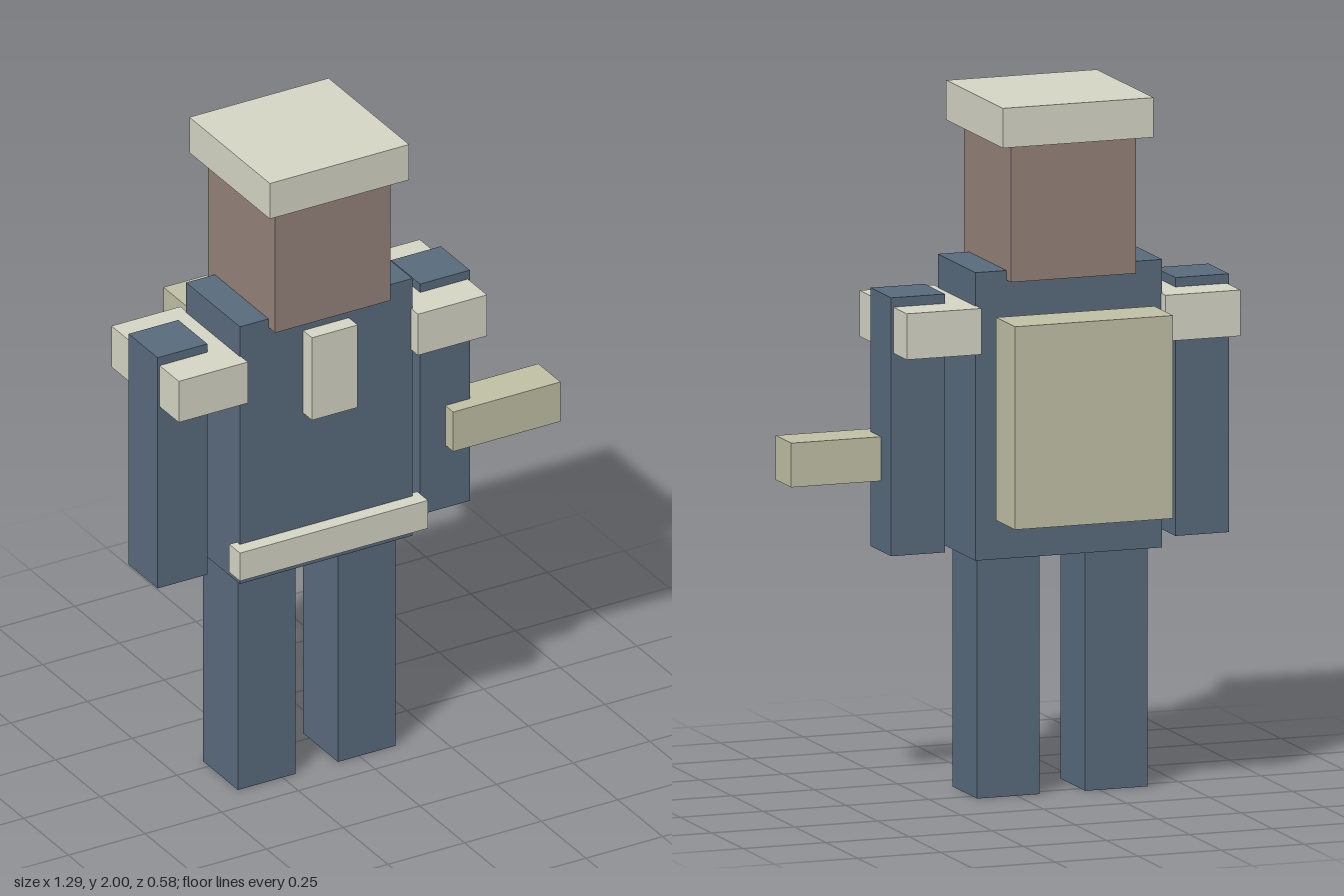
import * as THREE from 'three';

const material = (color) => new THREE.MeshStandardMaterial({ color });

export function createModel() {
  const model = new THREE.Group();
  model.name = 'blockFigure';

  const cloth = material(0x596b7d);
  const skin = material(0x948279);
  const trim = material(0xd6d6c6);
  const gear = material(0xc0c0a6);

  // The body sits off-centre, balanced by the outstretched tool and backpack
  const body = new THREE.Group();
  body.name = 'body';
  body.position.set(-0.138, 0, 0.063);
  model.add(body);

  // Box by width, height, depth, and the centre of its base
  function block(name, mat, [w, h, d], [x, y, z]) {
    const mesh = new THREE.Mesh(new THREE.BoxGeometry(w, h, d), mat);
    mesh.name = name;
    mesh.position.set(x, y + h / 2, z);
    body.add(mesh);
    return mesh;
  }

  // Torso, head and cap
  block('torso', cloth, [0.562, 0.826, 0.3], [0, 0.693, 0]);
  block('head', skin, [0.376, 0.394, 0.376], [0, 1.492, 0]);
  block('cap', trim, [0.454, 0.114, 0.45], [0, 1.886, 0]);

  // Limbs and shoulder pads, mirrored
  for (const [side, s] of [['left', 1], ['right', -1]]) {
    block(side + 'Leg', cloth, [0.188, 0.7, 0.196], [s * 0.163, 0, 0]);
    block(side + 'Arm', cloth, [0.162, 0.741, 0.162], [s * 0.428, 0.709, 0]);
    block(side + 'ShoulderPad', trim, [0.225, 0.132, 0.376], [s * 0.39, 1.291, 0]);
  }

  // Chest plate and belt
  block('chestPlate', trim, [0.149, 0.265, 0.062], [0, 1.185, 0.168]);
  block('belt', trim, [0.613, 0.09, 0.06], [0, 0.73, 0.164]);

  // Backpack, and the tool held out to the left
  block('backpack', gear, [0.476, 0.582, 0.15], [0, 0.815, -0.276]);
  block('heldTool', gear, [0.35, 0.127, 0.124], [0.604, 0.91, 0.063]);

  return model;
}
